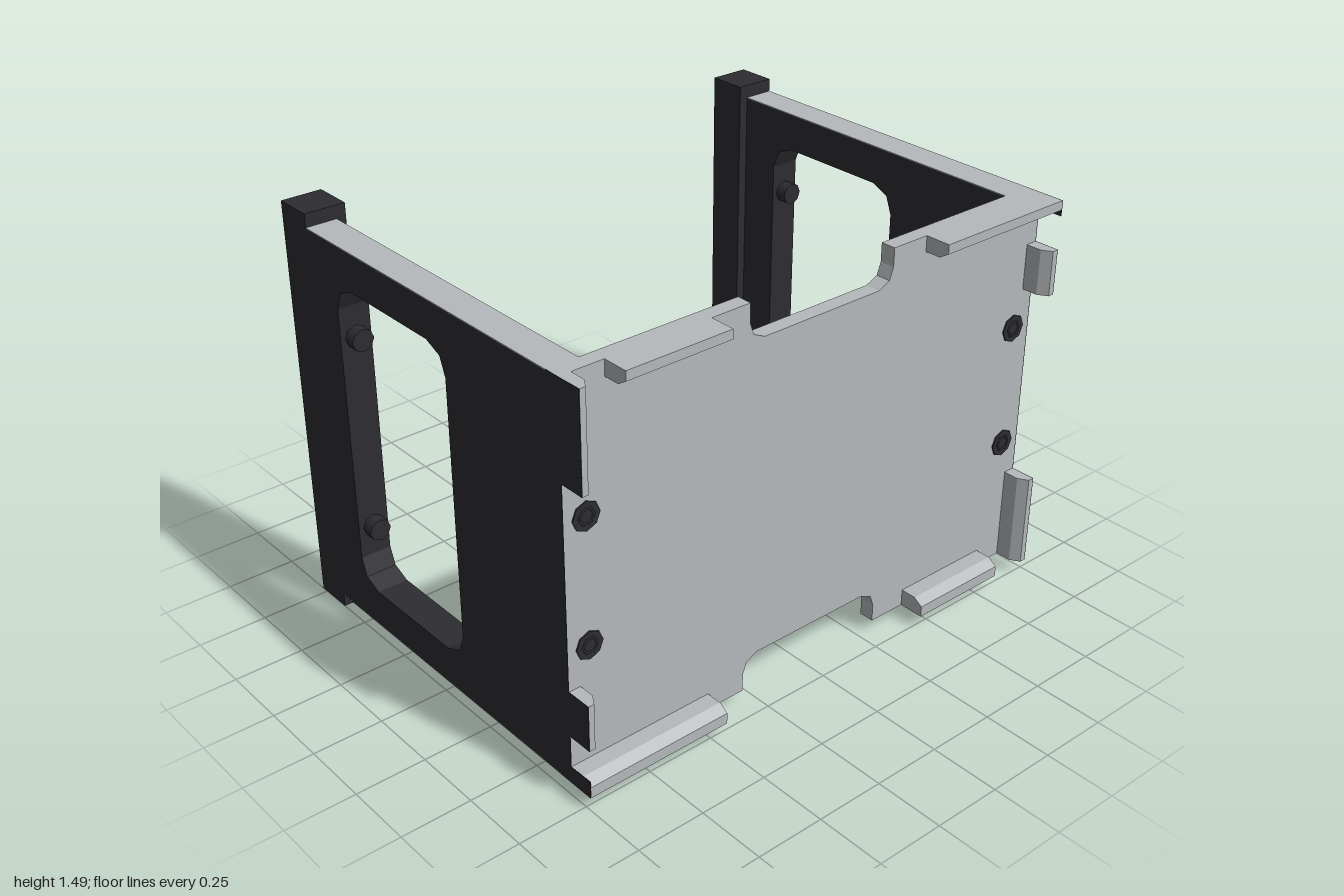
import * as THREE from 'three';

const GREY = new THREE.MeshStandardMaterial({ color: 0xb5b9bb });
const DARK = new THREE.MeshStandardMaterial({ color: 0x2d2c31 });
const LABEL = new THREE.MeshStandardMaterial({ color: 0xcccccc });

const CX = -0.004, HALF = 0.996;      // body centre and half width
const Y0 = 0.047, Y1 = 1.445;         // bottom and top of the panels
const THICK = 0.113;                  // side wall thickness
const BACK = 0.625, FACE = 0.68, TIP = 0.773; // panel back, panel face, tab front
const POST_Z = -0.63, END_Z = -0.775;

export function createModel() {
  const model = new THREE.Group();

  const add = (name, geo, mat) => {
    const mesh = new THREE.Mesh(geo, mat);
    mesh.name = name;
    model.add(mesh);
    return mesh;
  };
  const box = (name, mat, x0, x1, y0, y1, z0, z1) => {
    const mesh = add(name, new THREE.BoxGeometry(Math.abs(x1 - x0), y1 - y0, z1 - z0), mat);
    mesh.position.set((x0 + x1) / 2, (y0 + y1) / 2, (z0 + z1) / 2);
    return mesh;
  };
  const shapeOf = (pts) => new THREE.Shape(pts.map(([a, b]) => new THREE.Vector2(a, b)));
  const extrude = (shape, depth) => new THREE.ExtrudeGeometry(shape, { depth, bevelEnabled: false });
  // (z, y) outline swept from x0 to x1
  const alongX = (shape, x0, x1) => extrude(shape, x1 - x0).rotateY(-Math.PI / 2).translate(x1, 0, 0);
  // (x, -z) outline swept from y0 to y1
  const alongY = (shape, y0, y1) => extrude(shape, y1 - y0).rotateX(-Math.PI / 2).translate(0, y0, 0);
  // cylinder pointing along z
  const rod = (name, mat, r, sides, x, y, z0, z1) => {
    const geo = new THREE.CylinderGeometry(r, r, z1 - z0, sides).rotateX(Math.PI / 2);
    add(name, geo.toNonIndexed(), mat).position.set(x, y, (z0 + z1) / 2);
  };

  // Front panel with a notch in the top and bottom edges
  const notch = [[-0.3, 0], [-0.3, 0.065], [-0.285, 0.107], [-0.24, 0.128],
    [0.24, 0.128], [0.285, 0.107], [0.3, 0.065], [0.3, 0]];
  const xl = CX - HALF + 0.002, xr = CX + HALF - 0.002;
  const panel = shapeOf([[xl, Y0], ...notch.map(([x, d]) => [x, Y0 + d]), [xr, Y0],
    [xr, Y1], ...notch.map(([x, d]) => [-x, Y1 - d]), [xl, Y1]]);
  add('frontPanel', extrude(panel, FACE - BACK).translate(0, 0, BACK), GREY);

  // Tab profile: distance in from the edge, z
  const hook = (d) => [[0, FACE], [d, FACE], [d, 0.738], [d - 0.022, TIP], [0, TIP]];

  // Tabs along the top and bottom edges
  for (const [x0, x1, edge, dir, d] of [
    [-0.84, -0.45, Y1, -1, 0.055], [0.445, xr, Y1, -1, 0.055],
    [xl, -0.45, Y0, 1, 0.062], [0.445, 0.83, Y0, 1, 0.062]]) {
    const profile = shapeOf(hook(d).map(([a, z]) => [z, edge + dir * a]));
    add('edgeTab', alongX(profile, x0, x1), GREY);
  }

  // Tabs on the left and right edges
  const sideTabs = [[1, Y0, 0.39], [1, 1.107, 1.27], [-1, 0.225, 0.39], [-1, 1.107, Y1]];
  for (const [s, y0, y1] of sideTabs) {
    const edge = CX + s * (HALF - 0.002);
    const profile = shapeOf(hook(0.043).map(([a, z]) => [edge - s * a, -z]));
    add('sideTab', alongY(profile, y0, y1), GREY);
  }

  // Dark outer faces of the tabs and panel ends
  for (const [s, y0, y1] of [...sideTabs, [1, 1.39, Y1], [-1, Y0, 0.109]])
    box('tabOuterFace', DARK, CX + s * (HALF - 0.003), CX + s * HALF, y0, y1, FACE, TIP);
  for (const s of [-1, 1])
    box('panelEnd', DARK, CX + s * (HALF - 0.003), CX + s * HALF, Y0, Y1, BACK, FACE);

  for (const s of [-1, 1]) {
    const outer = CX + s * HALF, inner = outer - s * THICK;
    const xa = Math.min(outer, inner), xb = Math.max(outer, inner);

    // Side wall with a cut-cornered window
    const wall = shapeOf([[POST_Z, Y0 + 0.003], [BACK, Y0 + 0.003], [BACK, Y1 - 0.003], [POST_Z, Y1 - 0.003]]);
    const corner = [[0.3, 0.468], [0.275, 0.532], [0.208, 0.56]];
    const hole = [...corner, ...corner.map(([z, y]) => [-z, y]).reverse(),
      ...corner.map(([z, y]) => [-z, -y]), ...corner.map(([z, y]) => [z, -y]).reverse()];
    wall.holes.push(new THREE.Path(hole.map(([z, y]) => new THREE.Vector2(z - 0.176, y + 0.748))));
    add('sideWall', alongX(wall, xa, xb), DARK);
    box('wallTopEdge', GREY, xa, xb, Y1 - 0.003, Y1, POST_Z, BACK);
    box('wallBottomEdge', GREY, xa, xb, Y0, Y0 + 0.003, POST_Z, BACK);

    // Rear post: a channel open to the back, closed at both ends
    const far = outer - s * 0.147, lip = 0.022, floor = -0.67;
    const channel = shapeOf([[outer, -POST_Z], [outer, -END_Z], [outer - s * lip, -END_Z],
      [outer - s * lip, -floor], [far + s * lip, -floor], [far + s * lip, -END_Z],
      [far, -END_Z], [far, -POST_Z]]);
    add('rearPost', alongY(channel, 0.035, 1.457), DARK);
    box('postBottomCap', DARK, outer, far, 0, 0.035, END_Z, POST_Z);
    box('postTopCap', DARK, outer, far, 1.457, 1.492, END_Z, POST_Z);

    // Screw heads inside the post, and the two ends showing in the window
    const sx = (outer + far) / 2;
    for (const y of [0.11, 0.39, 1.105, 1.385])
      rod('postScrew', DARK, 0.035, 8, sx, y, -0.715, floor + 0.01);
    for (const y of [0.39, 1.105])
      rod('windowScrewEnd', DARK, 0.04, 8, (outer + inner) / 2, y, -0.5, -0.432);

    // Screws in the front panel
    for (const y of [0.525, 0.972]) {
      const x = CX + s * 0.915;
      rod('frontScrew', DARK, 0.05, 8, x, y, BACK + 0.01, FACE + 0.005);
      const ring = new THREE.TorusGeometry(0.027, 0.006, 4, 6);
      add('frontScrewSocket', ring, DARK).position.set(x, y, FACE + 0.004);
    }
  }

  // Raised plate on the left wall
  box('sidePlate', LABEL, 0.988, 1, 0.45, 1.045, 0.313, 0.435);

  return model;
}
